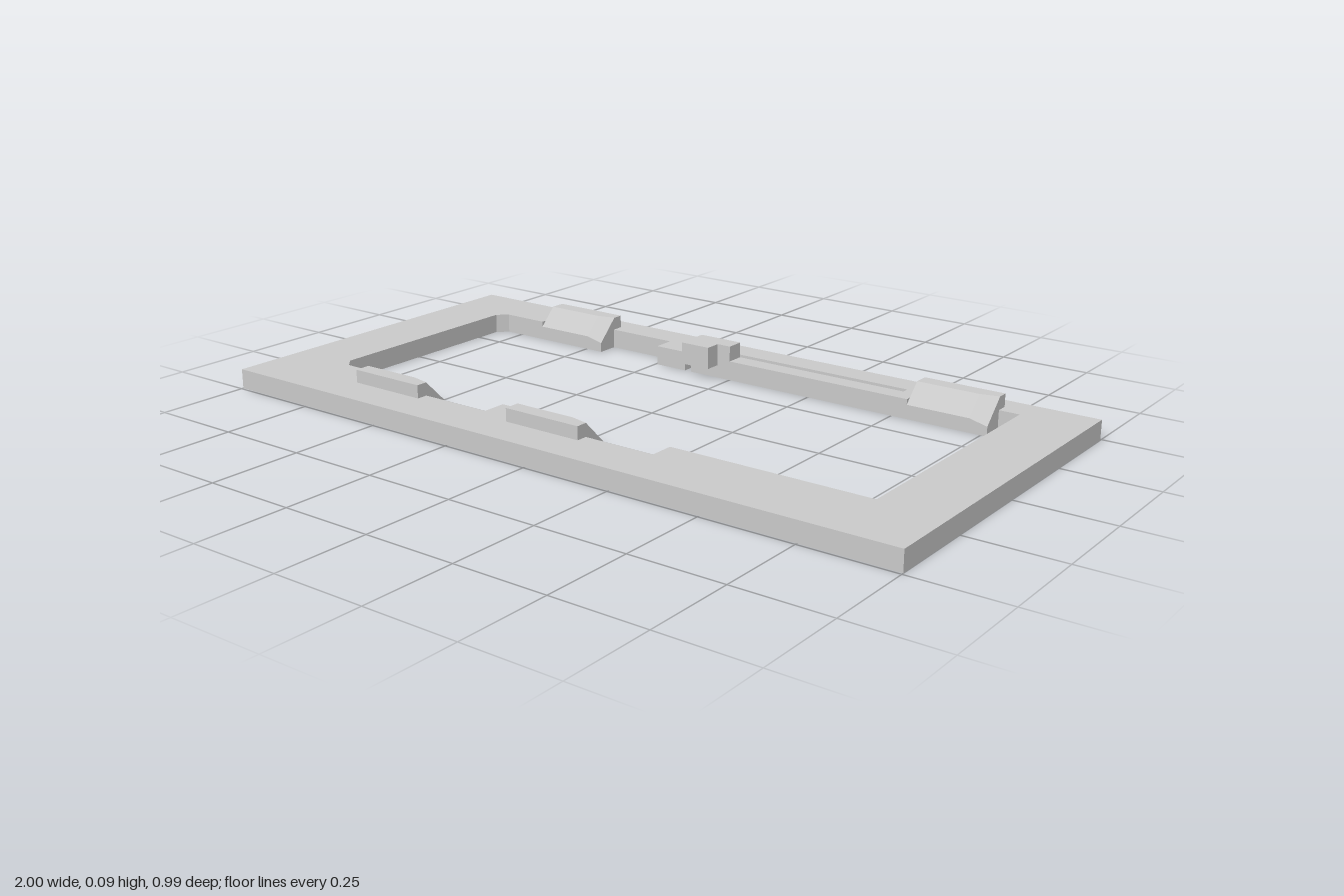
import * as THREE from 'three';

const T = 0.053; // frame thickness
const TOP = 0.088; // clip height

const grey = new THREE.MeshStandardMaterial({ color: 0xc8c8c8 });
grey.name = 'grey plastic';

function part(name, geometry) {
  const mesh = new THREE.Mesh(geometry, grey);
  mesh.name = name;
  return mesh;
}

// Extrude a plan outline of [x, z] points upward from y0 to y1
function slab(outline, y0, y1, hole) {
  const toPoints = (list) => list.map(([x, z]) => new THREE.Vector2(x, -z));
  const shape = new THREE.Shape(toPoints(outline));
  if (hole) shape.holes.push(new THREE.Path(toPoints(hole)));
  const g = new THREE.ExtrudeGeometry(shape, { depth: y1 - y0, bevelEnabled: false });
  g.rotateX(-Math.PI / 2);
  g.translate(0, y0, 0);
  return g;
}

// Wedge clip: sloped towards the opening, with the slope cut back at its +x end
function clip(name, x0, x1, { edge, crest, notch, back }) {
  const group = new THREE.Group();
  group.name = name;
  const s = Math.sign(edge);
  const lip = TOP - Math.abs(crest - edge);
  const cut = 0.012, taper = 0.05;
  const section = [
    [edge, 0], [edge, lip], [crest, TOP], [back, TOP], [back, T], [notch, T], [notch, 0],
  ];
  const sweep = (from, to) => {
    const shape = new THREE.Shape(section.map(([z, y]) => new THREE.Vector2(-z, y)));
    const g = new THREE.ExtrudeGeometry(shape, { depth: to - from, bevelEnabled: false });
    g.rotateY(Math.PI / 2);
    g.translate(from, 0, 0);
    return g;
  };
  group.add(part('clipBody', sweep(x0, x1 - taper)));

  // Move the slope's corners at the far end of the tapered piece
  const end = sweep(x1 - taper, x1);
  const p = end.attributes.position;
  const near = (a, b) => Math.abs(a - b) < 1e-4;
  for (let i = 0; i < p.count; i++) {
    if (!near(p.getX(i), x1)) continue;
    if (near(p.getZ(i), edge) && near(p.getY(i), lip)) p.setY(i, lip - cut);
    else if (near(p.getZ(i), crest)) p.setZ(i, crest + s * cut);
  }
  end.computeVertexNormals();
  group.add(part('clipTaper', end));
  return group;
}

export function createModel() {
  const model = new THREE.Group();
  model.name = 'mountingFrame';

  // Inner edges of the back and front rails, and the notch depths
  const B = -0.35, BN = -0.41, F = 0.295, FN = 0.36;

  // Flat frame; the opening includes the notches and the slot behind the latch arm
  const outer = [[-1, 0.494], [1, 0.494], [1, -0.494], [-1, -0.494]];
  const opening = [
    [-0.828, -0.325], [-0.8, B], [-0.668, B], [-0.668, BN], [-0.245, BN], [-0.245, B],
    [-0.149, B], [-0.149, -0.421], [0.505, -0.421], [0.505, -0.4], [-0.128, -0.4], [-0.128, B],
    [0.543, B], [0.543, BN], [0.823, BN], [0.823, F],
    [0.275, F], [0.275, FN], [-0.149, FN], [-0.149, F], [-0.245, F], [-0.245, FN],
    [-0.668, FN], [-0.668, F], [-0.8, F], [-0.828, 0.265],
  ];
  model.add(part('frame', slab(outer, 0, T, opening)));

  // Clips along both rails
  const backClip = { edge: B, crest: -0.4, notch: BN, back: -0.442 };
  const frontClip = { edge: F, crest: 0.347, notch: FN, back: 0.39 };
  model.add(clip('backRightClip', -0.668, -0.447, backClip));
  model.add(clip('backLeftClip', 0.543, 0.767, backClip));
  model.add(clip('frontRightClip', -0.668, -0.447, frontClip));
  model.add(clip('frontMiddleClip', -0.149, 0.076, frontClip));

  // Raised catch at the free end of the latch arm
  model.add(part('latchBase', slab([[-0.128, -0.4], [0, -0.4], [0, B], [-0.128, B]], T, 0.095)));
  model.add(part('latchHead', slab([[-0.128, B], [-0.04, B], [-0.04, -0.305], [-0.128, -0.305]], 0.035, 0.095)));

  return model;
}
